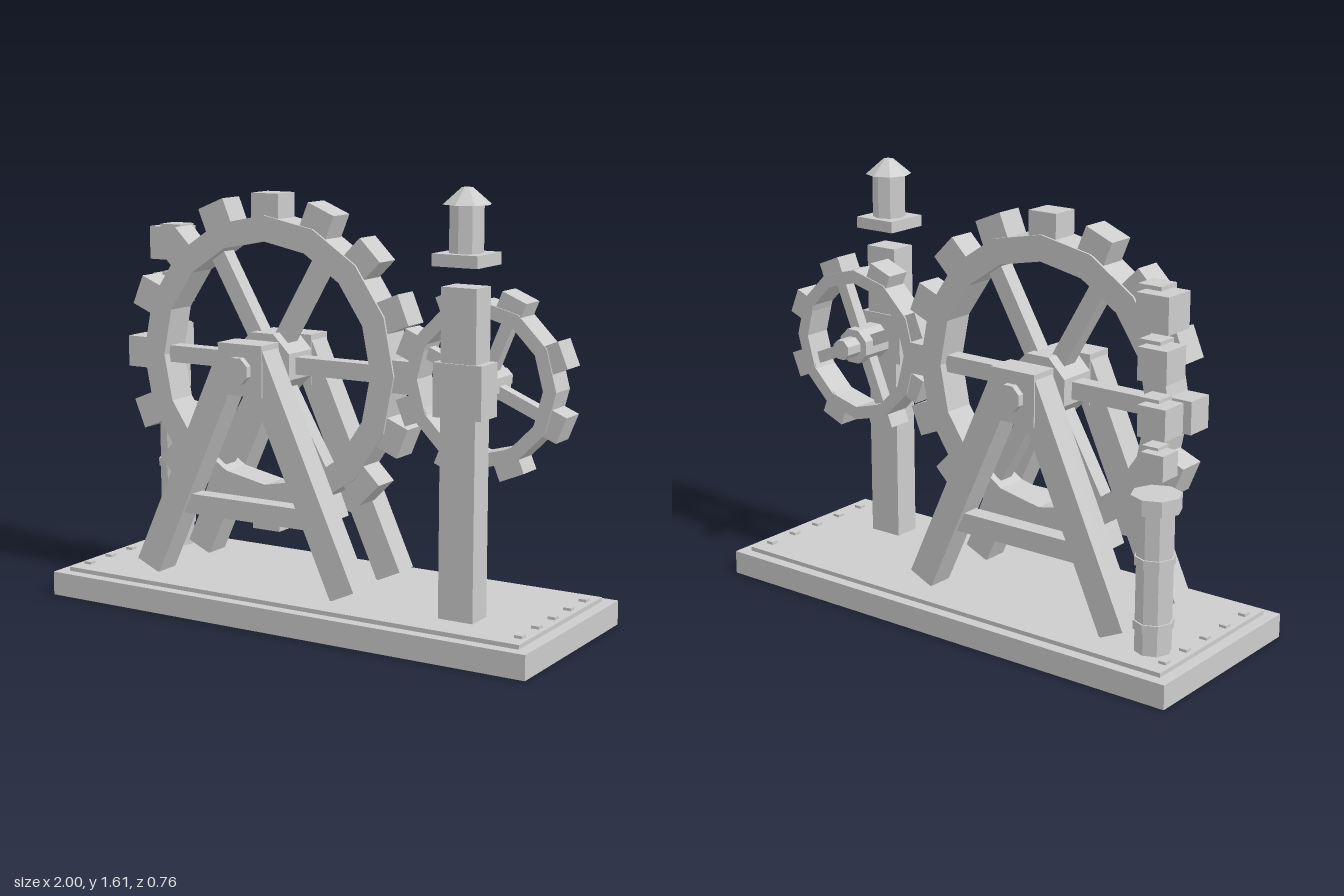
import * as THREE from 'three';

export function createModel() {
  const model = new THREE.Group();
  const grey = new THREE.MeshStandardMaterial({ color: 0xcccccc, flatShading: true });
  grey.name = 'light grey';

  function add(name, geo, x, y, z, parent = model) {
    const mesh = new THREE.Mesh(geo, grey);
    mesh.name = name;
    mesh.position.set(x, y, z);
    parent.add(mesh);
    return mesh;
  }
  const box = (name, w, h, d, x, y, z, parent) =>
    add(name, new THREE.BoxGeometry(w, h, d), x, y, z, parent);
  const column = (name, rTop, rBottom, y0, y1, x, z) =>
    add(name, new THREE.CylinderGeometry(rTop, rBottom, y1 - y0, 8), x, (y0 + y1) / 2, z);
  // Octagonal rod along z with a flat top
  const rod = (name, r, z0, z1, x, y, parent) =>
    add(name, new THREE.CylinderGeometry(r, r, z1 - z0, 8).rotateX(Math.PI / 2).rotateZ(Math.PI / 8),
      x, y, (z0 + z1) / 2, parent);

  // Toothed wheel: polygon rim, block teeth, spokes and hub
  function wheel(name, o) {
    const g = new THREE.Group();
    g.name = name;
    g.position.set(o.x, 0.914, 0);
    model.add(g);
    const polygon = (r) => Array.from({ length: o.sides }, (_, i) => {
      const a = (i / o.sides) * Math.PI * 2;
      return new THREE.Vector2(Math.cos(a) * r, Math.sin(a) * r);
    });
    const shape = new THREE.Shape(polygon(o.outer));
    shape.holes.push(new THREE.Path(polygon(o.inner)));
    add('rim', new THREE.ExtrudeGeometry(shape, { depth: o.depth, bevelEnabled: false }), 0, 0, -o.depth / 2, g);
    for (let i = 0; i < o.teeth; i++) {
      const a = o.toothStart + (i / o.teeth) * Math.PI * 2;
      const r = o.tip - o.tooth / 2;
      box('tooth', o.tooth, o.tooth, o.toothDepth, Math.cos(a) * r, Math.sin(a) * r, 0, g).rotation.z = a;
    }
    for (let i = 0; i < o.spokes; i++) {
      const a = o.spokeStart + (i / o.spokes) * Math.PI * 2;
      const len = o.inner + 0.01;
      box('spoke', len, o.spoke, o.spoke, Math.cos(a) * len / 2, Math.sin(a) * len / 2, 0, g).rotation.z = a;
    }
    rod('hub', o.hub, -o.hubDepth / 2, o.hubDepth / 2, 0, 0, g);
    rod('axle', o.axle, o.axleBack, o.axleFront, 0, 0, g);
  }

  // Base with raised plate and rivets
  box('base', 2, 0.09, 0.765, 0, 0.045, 0);
  box('basePlate', 1.91, 0.016, 0.68, 0, 0.098, 0);
  for (const x of [-0.92, 0.92])
    for (let i = -2; i <= 2; i++) box('rivet', 0.03, 0.012, 0.03, x, 0.11, i * 0.13);

  wheel('largeWheel', {
    x: -0.24, sides: 16, outer: 0.55, inner: 0.455, depth: 0.128,
    teeth: 16, toothStart: 0, tip: 0.63, tooth: 0.118, toothDepth: 0.11,
    spokes: 6, spokeStart: 0, spoke: 0.064, hub: 0.128, hubDepth: 0.155,
    axle: 0.052, axleBack: -0.25, axleFront: 0.25,
  });
  wheel('smallWheel', {
    x: 0.645, sides: 12, outer: 0.295, inner: 0.245, depth: 0.11,
    teeth: 8, toothStart: Math.PI / 8, tip: 0.34, tooth: 0.1, toothDepth: 0.1,
    spokes: 4, spokeStart: -Math.PI / 8, spoke: 0.045, hub: 0.07, hubDepth: 0.13,
    axle: 0.04, axleBack: -0.135, axleFront: 0.15,
  });

  // A-frames on both sides of the large wheel
  for (const side of [-1, 1]) {
    const frame = new THREE.Group();
    frame.name = side > 0 ? 'frontFrame' : 'backFrame';
    frame.position.set(-0.24, 0, side * 0.167);
    model.add(frame);
    for (const s of [-1, 1]) {
      const dx = 0.385, dy = 0.845;
      const leg = box('leg', 0.107, Math.hypot(dx, dy), 0.103, s * (0.43 - dx / 2), 0.125 + dy / 2, 0, frame);
      leg.rotation.z = s * Math.atan2(dx, dy);
    }
    box('crossbar', 0.6, 0.075, 0.07, 0, 0.385, 0, frame);
    box('bearingBlock', 0.19, 0.19, 0.115, 0, 0.915, 0, frame);
  }

  // Post carrying the small wheel, with a lantern above
  const px = 0.645, pz = 0.157;
  box('post', 0.135, 1.165, 0.105, px, 0.6875, pz);
  box('postBracket', 0.187, 0.19, 0.118, px, 0.915, pz);
  box('lanternShelf', 0.175, 0.043, 0.175, px, 1.363, pz);
  column('lanternBody', 0.062, 0.062, 1.384, 1.55, px, pz);
  column('lanternRoof', 0.02, 0.087, 1.548, 1.605, px, pz);

  // Chimney pipe with collars
  const cx = -0.828, cz = -0.192;
  column('pipe', 0.066, 0.066, 0.105, 0.63, cx, cz);
  for (const y of [0.205, 0.44]) column('pipeRing', 0.073, 0.073, y - 0.016, y + 0.016, cx, cz);
  column('pipeCap', 0.09, 0.09, 0.62, 0.677, cx, cz);

  // Blocky smoke puffs, growing as they rise
  [[0.785, 0.09], [0.94, 0.11], [1.137, 0.115], [1.315, 0.128]].forEach(([y, s]) => {
    box('puff', s, s, s, -0.837, y, -0.196);
    box('smallPuff', s * 0.72, s * 0.72, s * 0.72, -0.837 + s * 0.38, y + s * 0.25, -0.196 + s * 0.3);
  });

  return model;
}
